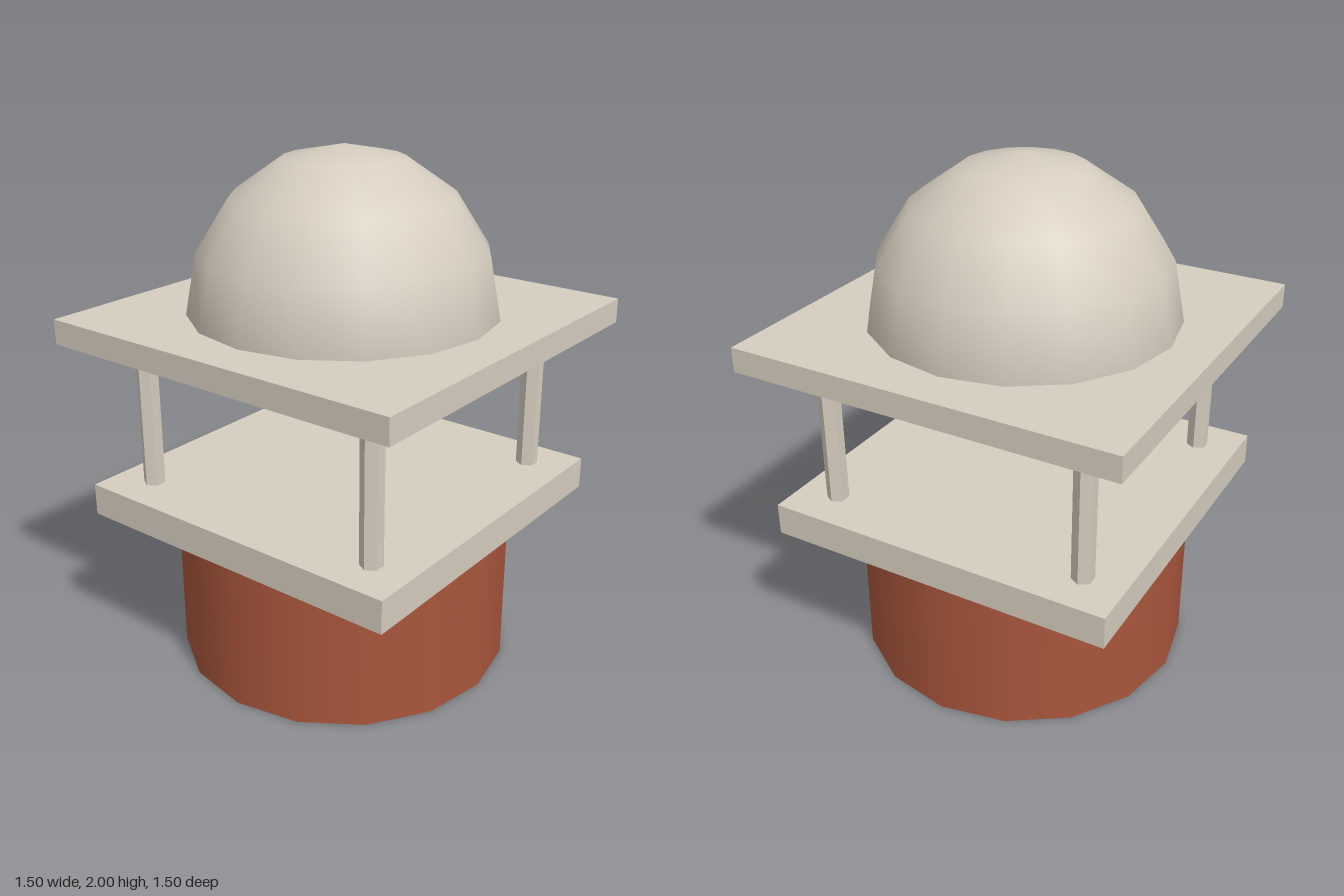
import * as THREE from 'three';

export function createModel() {
  const model = new THREE.Group();
  model.name = 'domedPavilion';

  const stone = new THREE.MeshStandardMaterial({ color: 0xd6cdbf });
  stone.name = 'pale stone';
  const brick = new THREE.MeshStandardMaterial({ color: 0xa9563c });
  brick.name = 'red brick';
  // the posts are faceted
  const postStone = stone.clone();
  postStone.name = 'pale stone faceted';
  postStone.flatShading = true;

  const add = (name, geometry, material, x, y, z) => {
    const mesh = new THREE.Mesh(geometry, material);
    mesh.name = name;
    mesh.position.set(x, y, z);
    model.add(mesh);
    return mesh;
  };
  const slab = (name, width, bottom, top) =>
    add(name, new THREE.BoxGeometry(width, top - bottom, width), stone, 0, (bottom + top) / 2, 0);

  // round brick drum
  add('drum', new THREE.CylinderGeometry(0.653, 0.653, 0.595, 16), brick, 0, 0.2975, 0);

  // square floor and roof slabs
  slab('floorSlab', 1.37, 0.595, 0.72);
  slab('roofSlab', 1.5, 1.295, 1.39);

  // four hexagonal corner posts
  const postGeometry = new THREE.CylinderGeometry(0.042, 0.042, 0.575, 6);
  for (const x of [-1, 1]) {
    for (const z of [-1, 1]) {
      const name = (z > 0 ? 'front' : 'back') + (x > 0 ? 'Left' : 'Right') + 'Post';
      add(name, postGeometry, postStone, x * 0.523, 1.0075, z * 0.523);
    }
  }

  // slightly raised half-sphere dome
  const domeGeometry = new THREE.SphereGeometry(0.585, 16, 4, 0, Math.PI * 2, 0, Math.PI / 2);
  domeGeometry.scale(1, 0.61 / 0.585, 1);
  add('dome', domeGeometry, stone, 0, 1.39, 0);

  return model;
}
